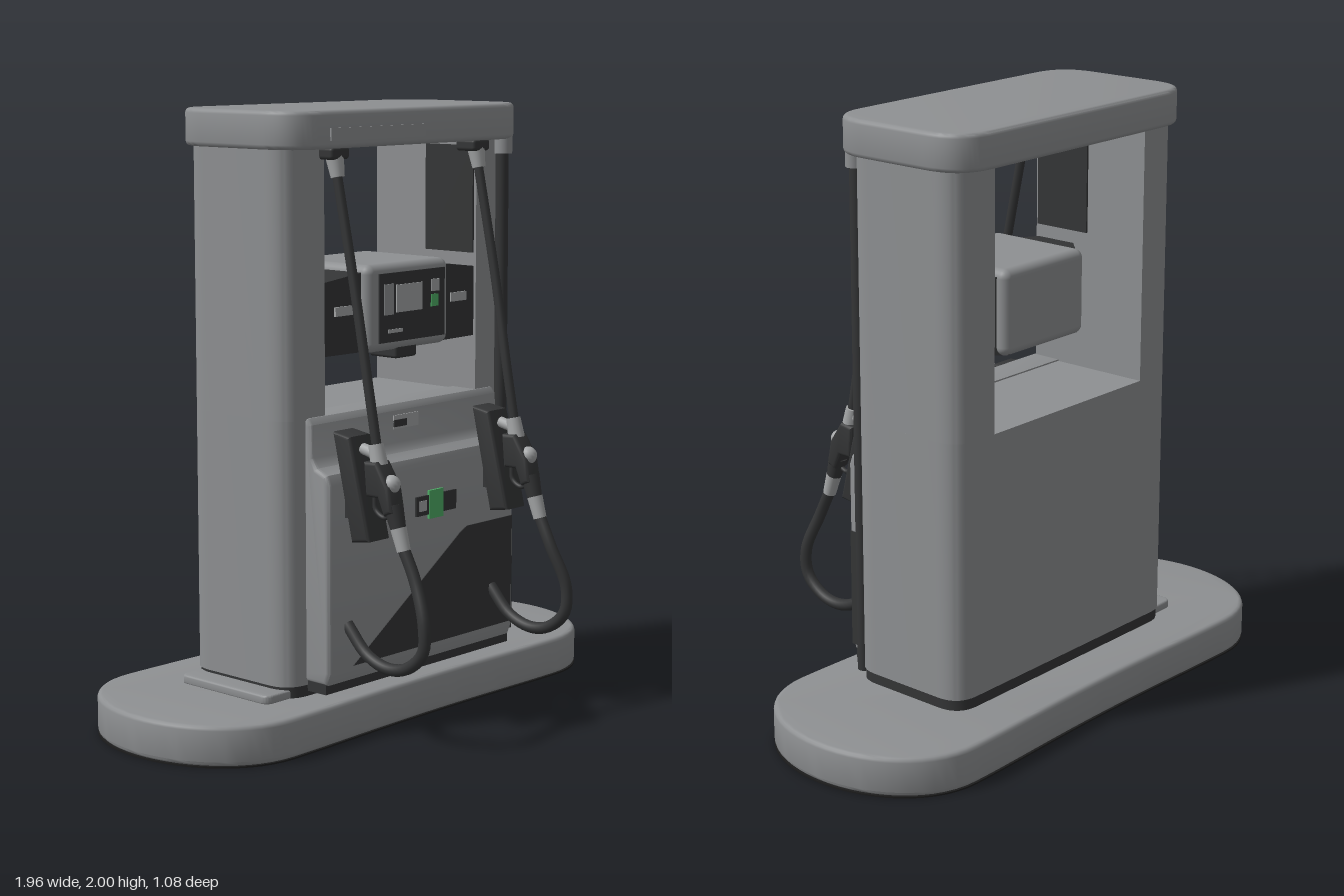
import * as THREE from 'three';
import { toCreasedNormals } from 'three/addons/utils/BufferGeometryUtils.js';
import { RoundedBoxGeometry } from 'three/addons/geometries/RoundedBoxGeometry.js';

const paint = (name, color) => Object.assign(new THREE.MeshStandardMaterial({ color }), { name });

export function createModel() {
  const grey = paint('bodyGrey', 0x8e9092);
  const light = paint('lightGrey', 0xa4a6a7);
  const dark = paint('darkPlastic', 0x343536);
  const black = paint('underside', 0x1c1c1c);
  const green = paint('green', 0x4fae67);
  const root = new THREE.Group();

  const add = (name, geo, mat, parent = root) => {
    const m = new THREE.Mesh(geo, mat);
    m.name = name;
    parent.add(m);
    return m;
  };
  const box = (name, x0, x1, y0, y1, z0, z1, mat, r = 0, parent = root) => {
    const s = [x1 - x0, y1 - y0, z1 - z0];
    const g = r ? new RoundedBoxGeometry(...s, 3, r) : new THREE.BoxGeometry(...s);
    g.translate((x0 + x1) / 2, (y0 + y1) / 2, (z0 + z1) / 2);
    return add(name, g, mat, parent);
  };
  // Footprint in (x, -z) with a radius for each side's corners
  const footprint = (x0, x1, z0, z1, rl, rr = rl) => {
    const s = new THREE.Shape(), b = -z1, t = -z0;
    s.moveTo(x0 + rl, b);
    s.lineTo(x1 - rr, b);
    if (rr) s.quadraticCurveTo(x1, b, x1, b + rr);
    s.lineTo(x1, t - rr);
    if (rr) s.quadraticCurveTo(x1, t, x1 - rr, t);
    s.lineTo(x0 + rl, t);
    if (rl) s.quadraticCurveTo(x0, t, x0, t - rl);
    s.lineTo(x0, b + rl);
    if (rl) s.quadraticCurveTo(x0, b, x0 + rl, b);
    return s;
  };
  // Raise a footprint from y0 to y1, with rounded rims
  const raise = (name, shape, y0, y1, mat, bevel = 0) => {
    const g = new THREE.ExtrudeGeometry(shape, {
      depth: y1 - y0 - 2 * bevel, bevelEnabled: bevel > 0, bevelThickness: bevel,
      bevelSize: bevel, bevelOffset: -bevel, bevelSegments: 3, curveSegments: 14 });
    g.rotateX(-Math.PI / 2).translate(0, y0 + bevel, 0);
    return add(name, toCreasedNormals(g, 0.6), mat);
  };
  // Side profile of (z, y) points, spread across the width
  const across = (name, pts, x, w, bevel, mat, parent = root) => {
    const s = new THREE.Shape(pts.map(p => new THREE.Vector2(...p)));
    const g = new THREE.ExtrudeGeometry(s, {
      depth: w - 2 * bevel, bevelEnabled: bevel > 0, bevelThickness: bevel,
      bevelSize: bevel, bevelOffset: -bevel, bevelSegments: 3 });
    g.translate(0, 0, -(w / 2 - bevel)).rotateY(-Math.PI / 2).translate(x, 0, 0);
    return add(name, toCreasedNormals(g, 0.6), mat, parent);
  };
  const rod = (name, a, b, ra, rb, mat, parent = root) => {
    const p = new THREE.Vector3(...a), q = new THREE.Vector3(...b), d = q.clone().sub(p);
    const m = add(name, new THREE.CylinderGeometry(rb, ra, d.length(), 16), mat, parent);
    m.position.copy(p).add(q).multiplyScalar(0.5);
    m.quaternion.setFromUnitVectors(new THREE.Vector3(0, 1, 0), d.normalize());
    return m;
  };
  const tube = (name, pts, r, mat, parent = root) => add(name, new THREE.TubeGeometry(
    new THREE.CatmullRomCurve3(pts.map(p => new THREE.Vector3(...p))), 40, r, 10), mat, parent);

  // Island: long oval with a slight waist
  const oval = new THREE.Shape();
  const c = 0.147, h = 0.387;
  oval.moveTo(0, c - h + 0.014);
  oval.bezierCurveTo(0.3, c - h + 0.014, 0.45, c - h, 0.66, c - h);
  oval.bezierCurveTo(0.86, c - h, 0.98, c - 0.2, 0.98, c);
  oval.bezierCurveTo(0.98, c + 0.2, 0.86, c + h, 0.66, c + h);
  oval.bezierCurveTo(0.45, c + h, 0.3, c + h - 0.014, 0, c + h - 0.014);
  oval.bezierCurveTo(-0.3, c + h - 0.014, -0.45, c + h, -0.66, c + h);
  oval.bezierCurveTo(-0.86, c + h, -0.98, c + 0.2, -0.98, c);
  oval.bezierCurveTo(-0.98, c - 0.2, -0.86, c - h, -0.66, c - h);
  oval.bezierCurveTo(-0.45, c - h, -0.3, c - h + 0.014, 0, c - h + 0.014);
  raise('island', oval, 0.004, 0.133, grey, 0.015);
  raise('islandUnderside', oval, 0, 0.005, black);

  // Cabinet: plinth, lower body, two pillars and the canopy
  raise('plinth', footprint(-0.54, 0.54, -0.35, 0.1, 0.09), 0.13, 0.175, dark);
  raise('sidePlate', footprint(-0.62, -0.48, -0.32, 0.08, 0.03, 0), 0.13, 0.16, grey, 0.006);
  raise('lowerBody', footprint(-0.545, 0.545, -0.352, 0.1, 0.09), 0.17, 1.03, grey);
  raise('rightPillar', footprint(-0.545, -0.37, -0.352, 0.1, 0.09, 0), 1.03, 1.89, grey);
  raise('leftPillar', footprint(0.37, 0.545, -0.352, 0.1, 0, 0.09), 1.03, 1.89, grey);
  raise('canopy', footprint(-0.573, 0.567, -0.39, 0.165, 0.15), 1.88, 2, grey, 0.015);
  box('canopyStrip', -0.41, 0.03, 1.905, 1.945, 0.16, 0.17, grey);
  for (const s of [-1, 1])
    box('innerWallPanel', s * 0.367 - 0.004, s * 0.367 + 0.004, 1.5, 1.86, -0.12, 0.09, dark);

  // Front panel with a stepped top and a dark lower corner
  across('frontPanel', [[0, 0.18], [0.185, 0.18], [0.2, 0.22], [0.2, 0.83], [0.188, 0.862],
    [0.145, 0.88], [0.125, 0.91], [0.12, 1.015], [0.105, 1.035], [0, 1.035]], 0, 0.92, 0.015, grey);
  box('panelFoot', -0.455, 0.455, 0.15, 0.19, 0.05, 0.18, dark);
  const wedge = new THREE.Shape([[-0.35, 0.23], [0.445, 0.23], [0.445, 0.6], [0.21, 0.6], [0.17, 0.58]]
    .map(p => new THREE.Vector2(...p)));
  add('panelWedge', new THREE.ExtrudeGeometry(wedge, { depth: 0.006, bevelEnabled: false }), dark)
    .position.z = 0.197;
  box('panelSideWedge', 0.456, 0.463, 0.2, 0.6, 0.1, 0.192, dark);

  // Card reader and small upper label
  box('readerFrame', -0.05, 0.15, 0.67, 0.735, 0.197, 0.206, dark);
  box('readerLight', 0.012, 0.082, 0.655, 0.75, 0.2, 0.209, green);
  box('readerSlot', -0.035, 0, 0.685, 0.72, 0.2, 0.208, light);
  box('upperLabel', -0.07, 0.05, 0.955, 1, 0.118, 0.125, light);
  box('upperLabelMark', -0.07, -0.01, 0.962, 0.985, 0.12, 0.128, dark);

  // Display head between tapered wings
  const display = new THREE.Group();
  display.name = 'display';
  root.add(display);
  box('displayHousing', -0.2, 0.2, 1.215, 1.5, -0.25, 0.13, grey, 0.03, display);
  box('displayFace', -0.15, 0.17, 1.245, 1.47, 0.126, 0.134, dark, 0, display);
  box('screen', -0.07, 0.055, 1.34, 1.43, 0.13, 0.138, light, 0, display);
  box('keypad', -0.13, -0.085, 1.335, 1.435, 0.13, 0.138, grey, 0, display);
  box('button', 0.1, 0.14, 1.395, 1.435, 0.13, 0.138, light, 0, display);
  box('greenButton', 0.1, 0.135, 1.345, 1.385, 0.13, 0.138, green, 0, display);
  box('smallLabel', -0.11, -0.04, 1.275, 1.287, 0.13, 0.137, light, 0, display);
  box('receiptSlot', -0.055, 0.05, 1.185, 1.23, 0, 0.12, dark, 0.01, display);
  for (const s of [-1, 1]) {
    const g = new THREE.BoxGeometry(0.2, 0.26, 0.34).translate(0.27, 1.35, -0.07);
    const p = g.attributes.position;
    for (let i = 0; i < p.count; i++) if (p.getX(i) > 0.3) {
      p.setZ(i, p.getZ(i) < -0.1 ? -0.06 : 0.09);
      if (p.getY(i) > 1.35) p.setY(i, 1.455);
    }
    if (s < 0) g.rotateY(Math.PI).scale(1, 1, 1);
    if (s < 0) for (let i = 0; i < p.count; i++) p.setZ(i, -p.getZ(i));
    if (s < 0) {
      const k = g.index.array;
      for (let i = 0; i < k.length; i += 3) [k[i], k[i + 1]] = [k[i + 1], k[i]];
    }
    g.computeVertexNormals();
    add('displayWing', g, dark, display);
    box('wingLabel', s * 0.28 - 0.04, s * 0.28 + 0.04, 1.345, 1.375, 0.092, 0.101, light, 0, display);
  }

  // Dark pole beside the left pillar
  rod('pole', [0.487, 0.14, 0.115], [0.487, 1.88, 0.115], 0.022, 0.022, dark);
  rod('poleCollar', [0.487, 1.83, 0.12], [0.487, 1.89, 0.12], 0.03, 0.03, grey);

  // Two hoses, each with holder and nozzle
  for (const [x, top, low] of [[-0.355, -0.35, -0.37], [0.325, 0.335, 0.345]]) {
    const n = new THREE.Group();
    n.name = x < 0 ? 'rightNozzle' : 'leftNozzle';
    root.add(n);
    box('hoseBracket', top - 0.042, top + 0.042, 1.845, 1.885, 0.07, 0.155, dark, 0.012, n);
    rod('hoseTopFitting', [top, 1.86, 0.125], [top, 1.79, 0.14], 0.03, 0.022, light, n);
    tube('upperHose', [[top, 1.82, 0.132], [top, 1.45, 0.21], [x, 1.15, 0.272], [x, 0.95, 0.31]], 0.016, dark, n);
    across('holder', [[0.165, 0.995], [0.238, 0.985], [0.32, 0.66], [0.245, 0.648]], x, 0.105, 0.012, dark, n);
    box('holderMount', x - 0.03, x + 0.03, 0.72, 0.85, 0.18, 0.25, dark, 0, n);
    rod('collar', [x, 0.965, 0.305], [x, 0.9, 0.32], 0.024, 0.028, light, n);
    rod('spout', [x, 0.945, 0.25], [x, 0.93, 0.32], 0.018, 0.018, light, n);
    across('nozzleBody', [[0.28, 0.91], [0.335, 0.915], [0.385, 0.84], [0.4, 0.76], [0.365, 0.745],
      [0.34, 0.8], [0.29, 0.8]], x, 0.07, 0.012, dark, n);
    const cap = add('nozzleCap', new THREE.SphereGeometry(0.03, 16, 10), light, n);
    cap.position.set(x, 0.845, 0.37);
    tube('triggerGuard', [[x, 0.81, 0.3], [x, 0.755, 0.305], [x, 0.735, 0.34], [x, 0.75, 0.375]], 0.008, dark, n);
    rod('handle', [x, 0.78, 0.378], [x, 0.7, 0.402], 0.032, 0.024, dark, n);
    rod('hoseSleeve', [x, 0.71, 0.4], [x, 0.64, 0.423], 0.026, 0.022, light, n);
    tube('lowerHose', [[x, 0.66, 0.415], [x, 0.55, 0.47], [low, 0.42, 0.52], [low, 0.33, 0.515],
      [low, 0.27, 0.45], [low, 0.255, 0.37], [low, 0.285, 0.28], [low, 0.37, 0.195]], 0.02, dark, n);
  }
  return root;
}
